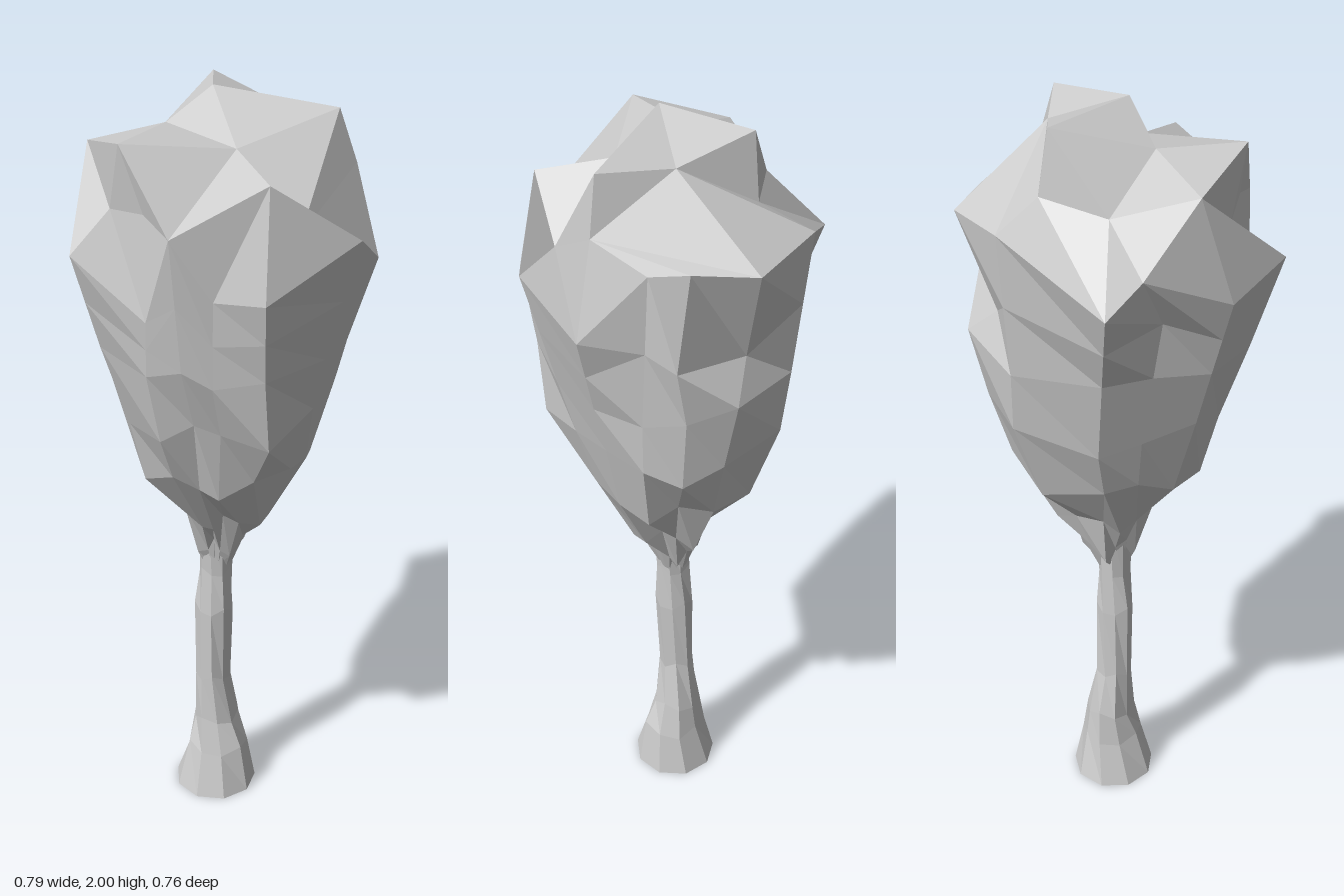
import * as THREE from 'three';

const material = new THREE.MeshStandardMaterial({ color: 0xcccccc, flatShading: true });

// Skins a stack of rings (bottom to top, corners turning from +x to +z) and caps both ends.
function skin(name, rings) {
  const positions = [];
  const tri = (a, b, c) => {
    const area = new THREE.Triangle(a, b, c).getArea();
    if (area > 1e-7) for (const p of [a, b, c]) positions.push(p.x, p.y, p.z);
  };
  const n = rings[0].length;
  for (let j = 0; j < rings.length - 1; j++) {
    for (let i = 0; i < n; i++) {
      const k = (i + 1) % n;
      const [lo, hi] = [rings[j], rings[j + 1]];
      tri(lo[i], hi[i], hi[k]);
      tri(lo[i], hi[k], lo[k]);
    }
  }
  const first = rings[0], last = rings[rings.length - 1];
  for (let i = 1; i < n - 1; i++) {
    tri(first[0], first[i], first[i + 1]);
    tri(last[0], last[i + 1], last[i]);
  }
  const geometry = new THREE.BufferGeometry();
  geometry.setAttribute('position', new THREE.Float32BufferAttribute(positions, 3));
  geometry.computeVertexNormals();
  const mesh = new THREE.Mesh(geometry, material);
  mesh.name = name;
  return mesh;
}

const v = (x, y, z) => new THREE.Vector3(x, y, z);

// Copy of a ring with some corners replaced
const withCorners = (ring, corners) => ring.map((p, i) => corners[i] ?? p);

// Flared, slightly crooked trunk: [y, radius, centre x, centre z]
function createTrunk() {
  const levels = [
    [0, 0.113, -0.008, -0.015], [0.13, 0.082, -0.003, -0.02], [0.22, 0.064, -0.01, -0.024],
    [0.36, 0.048, -0.013, -0.012], [0.58, 0.05, -0.008, -0.01], [0.7, 0.043, -0.005, -0.012], [0.86, 0.05, 0, -0.01],
  ];
  const sides = 9;
  return skin('trunk', levels.map(([y, r, cx, cz], j) =>
    Array.from({ length: sides }, (_, i) => {
      const a = (i / sides) * Math.PI * 2 + j * 0.1;
      const wobble = j ? 1 + 0.06 * Math.sin(i * 2.5 + j * 1.7) : 1;
      const lift = j ? 0.012 * Math.sin(i * 2.1 + j * 2) : 0;
      return v(cx + r * wobble * Math.cos(a), y + lift, cz + r * wobble * Math.sin(a));
    })));
}

function createCrown() {
  // Widest, jagged rim of the foliage
  const rim = [
    v(0.393, 1.69, -0.04), v(0.3, 1.58, 0.2), v(0.19, 1.58, 0.25), v(0.12, 1.73, 0.32), v(0.05, 1.52, 0.32),
    v(-0.12, 1.66, 0.38), v(-0.24, 1.6, 0.25), v(-0.325, 1.7, 0.04), v(-0.395, 1.64, -0.045),
    v(-0.22, 1.77, -0.28), v(-0.03, 1.75, -0.38), v(0.11, 1.76, -0.32), v(0.195, 1.76, -0.285), v(0.333, 1.59, -0.21),
  ];
  // Belly below the rim
  const belly = [
    v(0.31, 1.38, -0.03), v(0.28, 1.38, 0.17), v(0.18, 1.36, 0.24), v(0.12, 1.4, 0.28), v(0.04, 1.38, 0.31),
    v(-0.1, 1.42, 0.31), v(-0.2, 1.4, 0.21), v(-0.25, 1.42, 0.07), v(-0.29, 1.42, -0.05),
    v(-0.19, 1.4, -0.26), v(0.01, 1.42, -0.367), v(0.12, 1.38, -0.325), v(0.2, 1.36, -0.26), v(0.28, 1.38, -0.17),
  ];
  // Ledge at the back, tucked under the rim
  const ledge = withCorners(belly.map((p, i) => p.clone().lerp(rim[i], 0.5)), {
    7: v(-0.25, 1.56, 0.09), 10: v(-0.05, 1.5, -0.29), 11: v(0.15, 1.53, -0.337),
  });
  // Lower foliage tapers to the trunk: [y, scale of belly, centre x, centre z]
  const taper = [
    [0.7, 0.08, 0, -0.01], [0.79, 0.21, 0, -0.025], [0.89, 0.35, 0.01, -0.025],
    [1.05, 0.7, 0.01, -0.01], [1.22, 0.89, 0.012, -0.015],
  ];
  const lower = taper.map(([y, s, cx, cz], j) => belly.map((p, i) => {
    const fold = s * (1 + 0.06 * Math.sin(i * 2.4 + j * 1.3));
    return v(cx + p.x * fold, y + 0.03 * Math.sin(i * 1.9 + j * 2.2), cz + p.z * fold);
  }));
  // Shoulder above the rim, with dents at the front and back
  const peak = v(0.015, 2, 0.025), hollow = v(0.11, 1.875, 0.06), saddle = v(-0.08, 1.91, 0.08);
  const front = v(-0.045, 1.91, 0.29), side = v(-0.245, 1.86, 0.17), back = v(0.25, 1.95, -0.145);
  const corner = v(0.27, 1.84, 0.15), notch = v(0.28, 1.82, -0.18);
  const shoulder = [
    v(0.275, 1.7, 0.035), corner, corner, rim[3], v(0.02, 1.76, 0.285), v(-0.11, 1.74, 0.25), side, side,
    v(-0.235, 1.81, -0.03), v(-0.128, 1.82, -0.185), v(0.065, 1.93, -0.16), notch, notch, notch,
  ];
  // Crest overhanging the dents
  const crest = withCorners(shoulder, {
    3: hollow, 4: front, 5: front, 8: saddle, 9: v(-0.128, 1.98, -0.16), 11: back, 12: back, 13: back,
  });
  const top = [
    hollow, hollow, hollow, hollow, saddle, saddle, saddle, saddle, saddle, peak, peak, peak, peak, peak,
  ];
  return skin('crown', [...lower, belly, ledge, rim, shoulder, crest, top]);
}

export function createModel() {
  const tree = new THREE.Group();
  tree.name = 'tree';
  tree.add(createTrunk(), createCrown());
  return tree;
}
